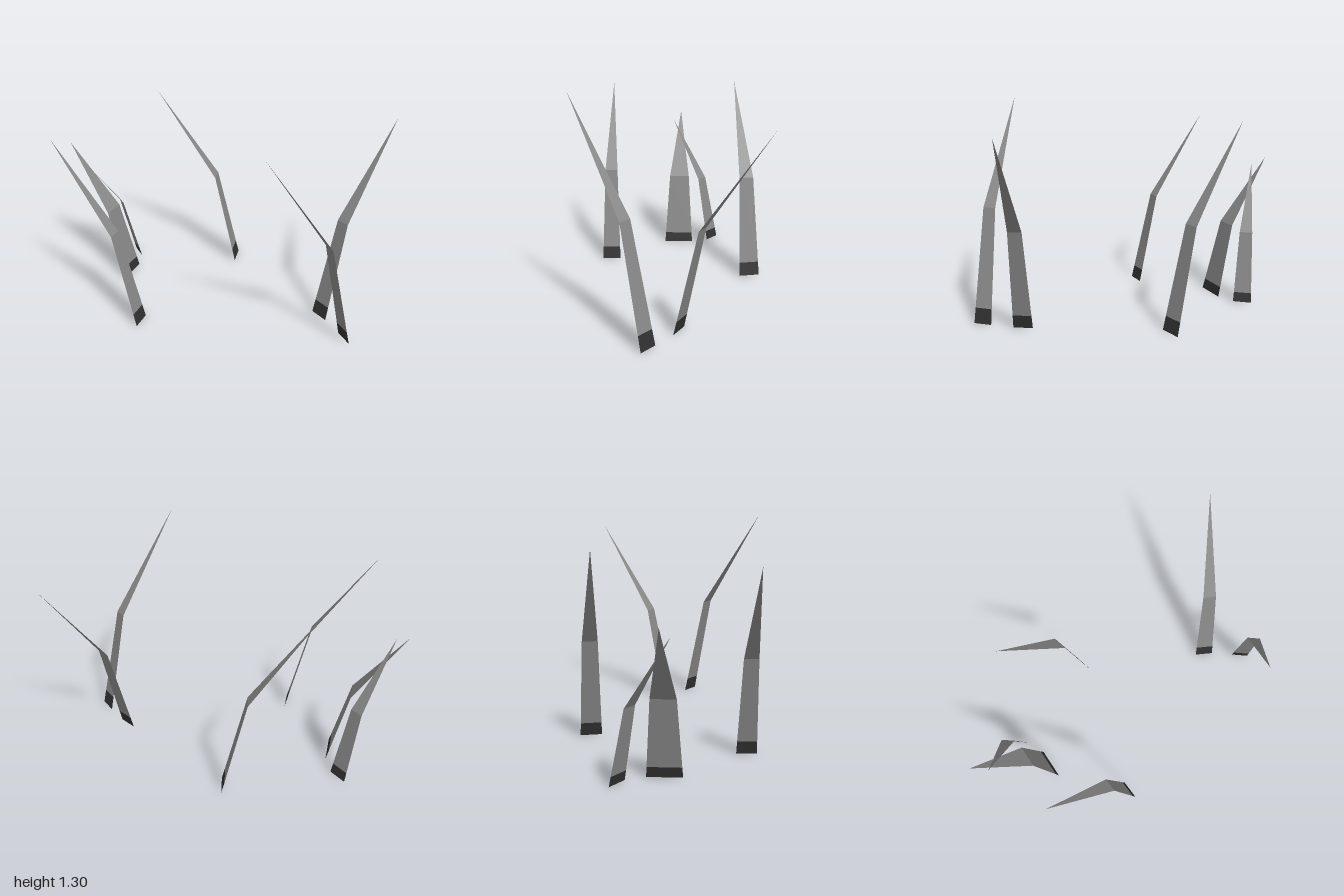
import * as THREE from 'three';

// Base centre (x, z), tip (x, z), tip height and half width at the ground
const BLADES = [
  { base: [0.524, 0.306], tip: [1.0, 0.067], height: 1.19, half: 0.058 },
  { base: [0.605, 0.546], tip: [0.045, 0.703], height: 1.297, half: 0.0545 },
  { base: [-0.572, 0.162], tip: [-1.0, -0.107], height: 1.137, half: 0.059 },
  { base: [0.15, -0.47], tip: [-0.338, -0.673], height: 1.19, half: 0.065 },
  { base: [-0.597, -0.398], tip: [-0.922, -0.622], height: 0.893, half: 0.0975 },
  { base: [-0.532, -0.646], tip: [-0.89, -0.538], height: 0.841, half: 0.057 },
];

// Sections up a blade, as fractions of its height, lean and width
const GROUND = { height: 0, lean: 0, width: 1 };
const BAND = { height: 0.07, lean: 0.036, width: 0.96 };
const FOLD = { height: 0.522, lean: 0.267, width: 0.7 };
const TIP = { height: 1, lean: 1, width: 0 };

// Flat strip between successive sections, with hard folds
function strip(blade, sections) {
  const [bx, bz] = blade.base;
  const dx = blade.tip[0] - bx;
  const dz = blade.tip[1] - bz;
  const length = Math.hypot(dx, dz);
  const corner = (s, side) => {
    const w = (side * blade.half * s.width) / length;
    return [bx + dx * s.lean - dz * w, blade.height * s.height, bz + dz * s.lean + dx * w];
  };
  const points = [];
  for (let i = 0; i < sections.length - 1; i++) {
    const [low, high] = [sections[i], sections[i + 1]];
    points.push(...corner(low, 1), ...corner(high, -1), ...corner(low, -1));
    if (high.width > 0) points.push(...corner(low, 1), ...corner(high, 1), ...corner(high, -1));
  }
  const geometry = new THREE.BufferGeometry();
  geometry.setAttribute('position', new THREE.Float32BufferAttribute(points, 3));
  geometry.computeVertexNormals();
  return geometry;
}

export function createModel() {
  const grey = new THREE.MeshStandardMaterial({ color: 0x888888, side: THREE.DoubleSide });
  grey.name = 'bladeGrey';
  const dark = new THREE.MeshStandardMaterial({ color: 0x303030, side: THREE.DoubleSide });
  dark.name = 'rootDark';

  const model = new THREE.Group();
  model.name = 'grassTuft';
  BLADES.forEach((blade, i) => {
    const group = new THREE.Group();
    group.name = `grassBlade${i + 1}`;

    // Dark band at the ground
    const root = new THREE.Mesh(strip(blade, [GROUND, BAND]), dark);
    root.name = 'bladeRoot';

    // Stem with one fold, tapering to a point
    const leaf = new THREE.Mesh(strip(blade, [BAND, FOLD, TIP]), grey);
    leaf.name = 'bladeLeaf';

    group.add(root, leaf);
    model.add(group);
  });
  return model;
}
